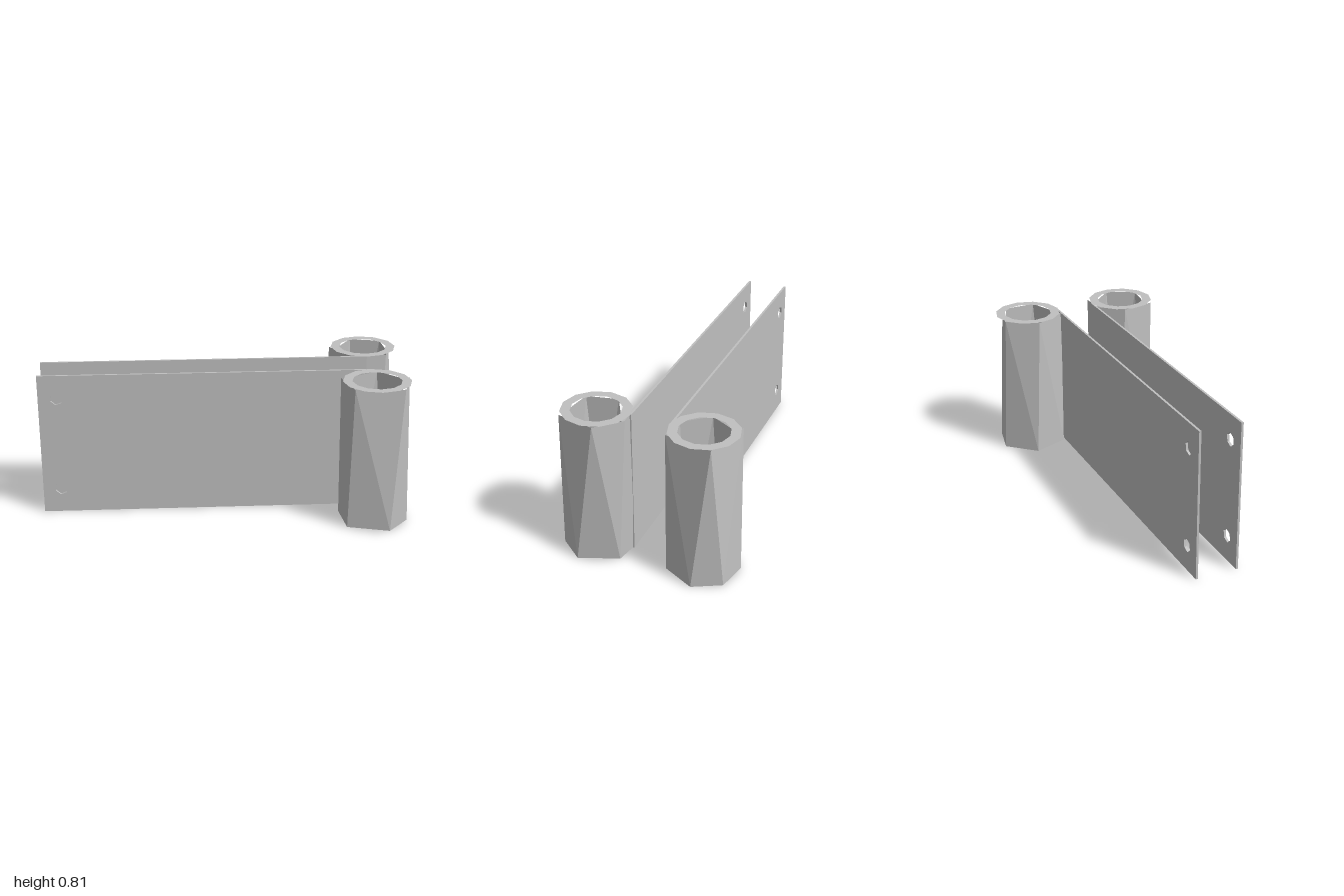
import * as THREE from 'three';

const HEIGHT = 0.81;
const ANGLE = Math.PI / 6; // slant of both leaves
const steel = new THREE.MeshStandardMaterial({ color: 0xc0c0c0 });
steel.name = 'plain steel';

// Faceted wall between a top and a bottom ring, each given as angles in degrees
function wall(top, bottom, radius, inward = false) {
  const at = (deg, y) => {
    const a = THREE.MathUtils.degToRad(deg);
    return [Math.cos(a) * radius, y, Math.sin(a) * radius];
  };
  const points = [];
  const face = (a, b, c) => points.push(...a, ...(inward ? c : b), ...(inward ? b : c));
  top.forEach((deg, i) => {
    const j = (i + 1) % top.length;
    const t0 = at(deg, HEIGHT), t1 = at(top[j], HEIGHT);
    const b0 = at(bottom[i], 0), b1 = at(bottom[j], 0);
    if (deg !== top[j]) face(b0, t0, t1);
    face(b0, t1, b1);
  });
  const geometry = new THREE.BufferGeometry();
  geometry.setAttribute('position', new THREE.Float32BufferAttribute(points, 3));
  geometry.computeVertexNormals();
  return geometry;
}

function add(parent, name, geometry) {
  const mesh = new THREE.Mesh(geometry, steel);
  mesh.name = name;
  parent.add(mesh);
  return mesh;
}

// Hollow knuckle: twisted outer wall, bore and a flat ring at each end
function knuckle(name, x, z, top, bottom, boreStart) {
  const group = new THREE.Group();
  group.name = name;
  group.position.set(x, 0, z);
  add(group, 'outerWall', wall(top, bottom, 0.196));
  const bore = [0, 1, 2, 3, 4].map((i) => boreStart + i * 72);
  add(group, 'bore', wall(bore, bore.map((a) => a + 22), 0.148, true));
  const ring = () => new THREE.RingGeometry(0.135, 0.187, 12);
  add(group, 'topRing', ring().rotateX(-Math.PI / 2)).position.y = HEIGHT;
  add(group, 'bottomRing', ring().rotateX(Math.PI / 2));
  return group;
}

// Thin leaf with two small screw holes near its free end
function leaf(name, offset, end) {
  const start = -1.128, thickness = 0.012;
  const shape = new THREE.Shape();
  shape.moveTo(start, 0);
  shape.lineTo(end, 0);
  shape.lineTo(end, HEIGHT);
  shape.lineTo(start, HEIGHT);
  shape.closePath();
  for (const y of [0.14, 0.677]) {
    const hole = new THREE.Path();
    for (let i = 0; i < 6; i++) {
      const a = 0.35 - (i * Math.PI) / 3;
      const px = start + 0.102 + Math.cos(a) * 0.036;
      const py = y + Math.sin(a) * 0.037;
      if (i === 0) hole.moveTo(px, py);
      else hole.lineTo(px, py);
    }
    hole.closePath();
    shape.holes.push(hole);
  }
  const geometry = new THREE.ExtrudeGeometry(shape, { depth: thickness, bevelEnabled: false });
  geometry.translate(0, 0, offset - thickness / 2).rotateY(-ANGLE);
  const mesh = new THREE.Mesh(geometry, steel);
  mesh.name = name;
  return mesh;
}

export function createModel() {
  const model = new THREE.Group();
  model.name = 'hinge';

  // Leaves run tangent to their knuckles
  model.add(leaf('frontLeaf', 0.032, 0.7));
  model.add(leaf('backLeaf', -0.193, 0.71));

  model.add(knuckle('frontKnuckle', 0.503, 0.54,
    [-41, 12, 79, 165, 225, 275], [-25, 45, 98, 172, 235, 285], 20));
  model.add(knuckle('backKnuckle', 0.803, 0.035,
    [-90, -90, 0, 86, 145, 210], [-75, -22, 29, 91, 155, 220], -10));

  return model;
}
